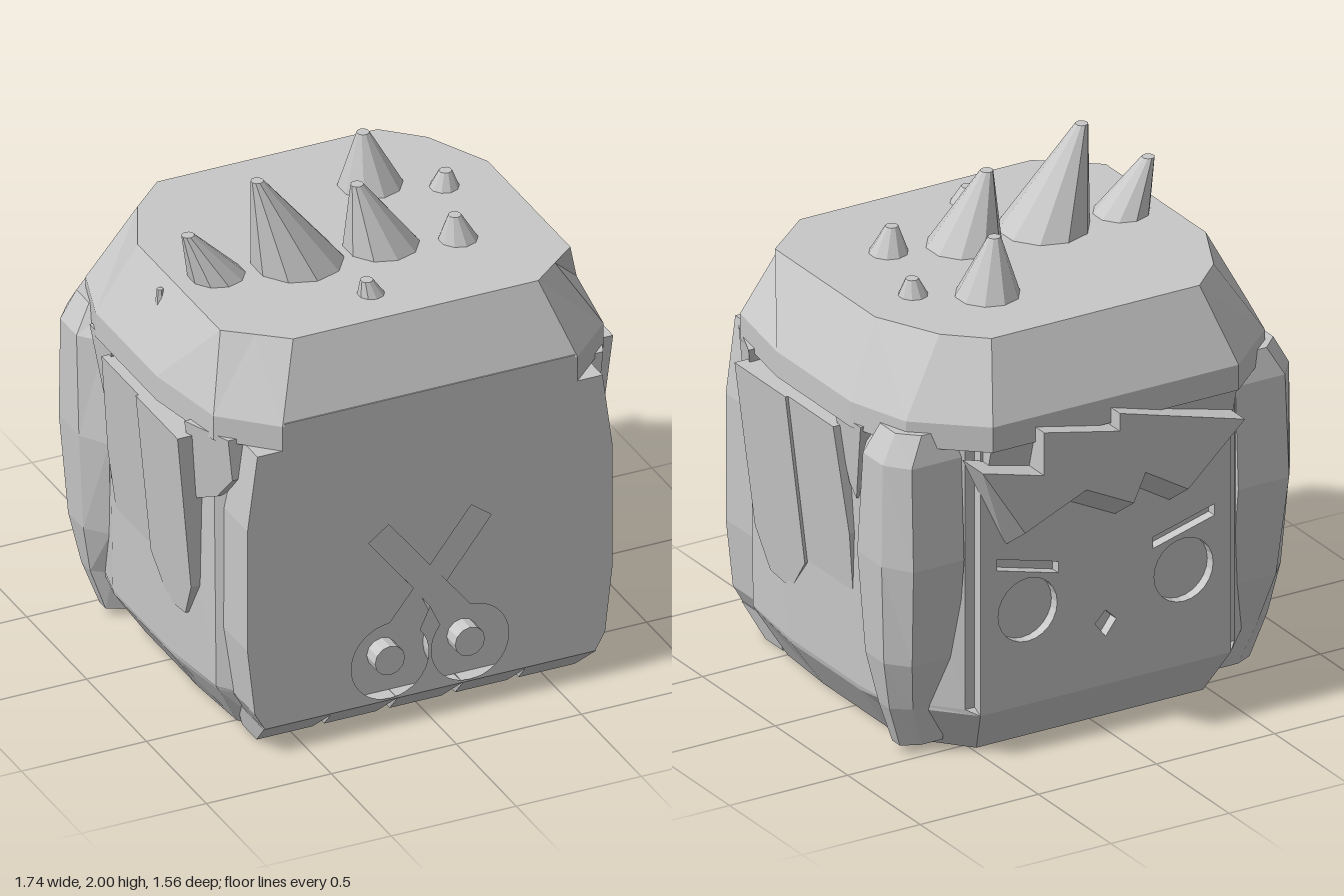
import * as THREE from 'three';

// Skin stacked rings of [x, z] points, listed from the top down
function loft(levels) {
  const pos = [], idx = [], n = levels[0].ring.length, last = (levels.length - 1) * n;
  for (const { y, ring } of levels) for (const [x, z] of ring) pos.push(x, y, z);
  for (let i = 0; i < levels.length - 1; i++) {
    for (let j = 0; j < n; j++) {
      const a = i * n + j, b = i * n + (j + 1) % n;
      idx.push(a, b, a + n, b, b + n, a + n);
    }
  }
  for (const { y, ring } of [levels[0], levels[levels.length - 1]]) {
    pos.push(ring.reduce((s, p) => s + p[0], 0) / n, y, ring.reduce((s, p) => s + p[1], 0) / n);
  }
  const top = levels.length * n;
  for (let j = 0; j < n; j++) {
    const k = (j + 1) % n;
    idx.push(top, k, j, top + 1, last + j, last + k);
  }
  const geo = new THREE.BufferGeometry();
  geo.setAttribute('position', new THREE.Float32BufferAttribute(pos, 3));
  geo.setIndex(idx);
  geo.computeVertexNormals();
  return geo;
}

const both = half => [...half, ...half.map(([x, z]) => [-x, z]).reverse()];

// Move every vertex by a rule
function warp(geo, rule) {
  const p = geo.attributes.position, v = new THREE.Vector3();
  for (let i = 0; i < p.count; i++) {
    v.fromBufferAttribute(p, i);
    rule(v);
    p.setXYZ(i, v.x, v.y, v.z);
  }
  geo.computeVertexNormals();
  return geo;
}

// Flip left to right and restore the corner order
function mirrored(geo) {
  const g = geo.index ? geo.toNonIndexed() : geo.clone();
  g.scale(-1, 1, 1);
  const p = g.attributes.position, a = new THREE.Vector3(), b = new THREE.Vector3();
  for (let i = 0; i < p.count; i += 3) {
    a.fromBufferAttribute(p, i + 1);
    b.fromBufferAttribute(p, i + 2);
    p.setXYZ(i + 1, b.x, b.y, b.z);
    p.setXYZ(i + 2, a.x, a.y, a.z);
  }
  g.computeVertexNormals();
  return g;
}

const vecs = pts => pts.map(([x, y]) => new THREE.Vector2(x, y));
const arc = (cx, cy, r, from, to, n) => Array.from({ length: n + 1 }, (_, i) => {
  const t = THREE.MathUtils.degToRad(from + (to - from) * i / n);
  return [cx + r * Math.cos(t), cy + r * Math.sin(t)];
});

function plate(outline, z, depth, holes = []) {
  const shape = new THREE.Shape(vecs(outline));
  for (const h of holes) shape.holes.push(new THREE.Path(vecs(h)));
  return new THREE.ExtrudeGeometry(shape, { depth, bevelEnabled: false }).translate(0, 0, z);
}

// Plate on the model's left side from [z, y] points; outer(z, y) gives its outer x
function sidePlate(pts, outer) {
  const geo = plate(pts.map(([z, y]) => [-z, y]), -0.14, 0.14).rotateY(Math.PI / 2);
  return warp(geo, v => { v.x += outer(v.z, v.y); });
}

export function createModel() {
  const model = new THREE.Group();
  const grey = new THREE.MeshStandardMaterial({ color: 0xc8c8c8, flatShading: true });
  grey.name = 'light grey';
  const add = (name, geo) => {
    const mesh = new THREE.Mesh(geo, grey);
    mesh.name = name;
    model.add(mesh);
    return mesh;
  };
  const addPair = (name, geo) => {
    add(name + 'Left', geo);
    add(name + 'Right', mirrored(geo));
  };

  // Head block with a square socket underneath
  const socket = both([[0.09, -0.19], [0.19, -0.19], [0.19, -0.07], [0.19, 0.07], [0.19, 0.19], [0.09, 0.19]]);
  add('head', loft([
    { y: 1.3, ring: both([[0.57, -0.61], [0.75, -0.42], [0.8, -0.23], [0.8, 0.25], [0.76, 0.56], [0.58, 0.7]]) },
    { y: 0.2, ring: both([[0.57, -0.61], [0.74, -0.42], [0.785, -0.23], [0.785, 0.25], [0.75, 0.56], [0.6, 0.7]]) },
    { y: 0.18, ring: both([[0.53, -0.65], [0.74, -0.42], [0.78, -0.23], [0.78, 0.25], [0.74, 0.56], [0.6, 0.7]]) },
    { y: 0, ring: both([[0.48, -0.54], [0.6, -0.4], [0.66, -0.22], [0.66, 0.22], [0.64, 0.5], [0.56, 0.62]]) },
    { y: 0, ring: socket },
    { y: 0.6, ring: socket },
  ]));

  // Hair cap with sloping sides
  const capRing = both([[0.52, -0.72], [0.76, -0.51], [0.84, -0.26], [0.84, 0.25], [0.78, 0.6], [0.59, 0.78]]);
  add('hairCap', loft([
    { y: 1.63, ring: both([[0.44, -0.58], [0.58, -0.45], [0.7, -0.2], [0.7, 0.49], [0.6, 0.57], [0.49, 0.66]]) },
    { y: 1.35, ring: capRing },
    { y: 1.25, ring: capRing },
  ]));
  add('hairBehindFringe', warp(new THREE.BoxGeometry(1.04, 0.22, 0.12).translate(0, 1.15, -0.65), v => {
    if (v.y < 1.1 && v.z < -0.65) v.z = -0.65;
  }));

  // Spikes: [base x, base z, radius, tip x, tip y]
  const spikes = [
    [-0.53, 0.115, 0.11, -0.65, 1.82], [-0.225, 0.15, 0.175, -0.39, 2], [0.1, 0.17, 0.145, 0, 1.9],
    [0.25, -0.24, 0.125, 0.22, 1.85], [0.48, -0.105, 0.06, 0.485, 1.695],
    [0.365, 0.255, 0.078, 0.35, 1.73], [-0.09, 0.48, 0.055, -0.11, 1.69],
  ];
  for (const [x, z, r, tipX, tipY] of spikes) {
    const h = tipY - 1.62;
    const geo = new THREE.CylinderGeometry(0.024, r, h, 10).translate(0, h / 2, 0);
    add('hairSpike', warp(geo, v => { v.x += (tipX - x) * v.y / h; })).position.set(x, 1.62, z);
  }
  add('smallNub', new THREE.CylinderGeometry(0.012, 0.02, 0.08, 6)).position.set(-0.735, 1.55, 0.06);

  // Flat hair panel on the front, with sunken scissors
  const panel = both([
    [0.58, 1.36], [0.58, 1.25], [0.69, 1.25], [0.73, 0.95], [0.73, 0.45], [0.7, 0.18], [0.66, 0.11],
  ]);
  const halfScissors = [
    [0, 0.63], [0.165, 0.84], [0.245, 0.78], [0.065, 0.55], [0.16, 0.43],
    ...arc(0.16, 0.272, 0.155, 80, -220, 28), [0, 0.46],
  ];
  const scissors = [...halfScissors, ...halfScissors.slice(1, -1).map(([x, y]) => [-x, y]).reverse()];
  add('frontPanel', plate(panel, 0.71, 0.07, [scissors]));
  add('frontPanelBacking', plate(panel, 0.56, 0.15));
  for (const x of [-0.16, 0.16]) {
    add('scissorPin', new THREE.CylinderGeometry(0.06, 0.06, 0.08, 12).rotateX(Math.PI / 2)).position.set(x, 0.272, 0.74);
  }

  // Row of hair tips under the front panel
  for (let i = -2; i <= 2; i++) {
    const w = Math.abs(i) === 2 ? 0.28 : 0.26;
    const geo = new THREE.BoxGeometry(w, 0.11, 0.24).translate(0, 0.055, 0.66);
    add('frontHairTip', warp(geo, v => {
      if (v.y < 0.05) { v.x *= 0.8; if (v.z > 0.7) v.z = 0.66; }
    })).position.x = i * 0.262;
  }

  // Face on the back with sunken eyes, brows and nose
  const flipped = pts => pts.map(([x, y]) => [-x, y]);
  const eye = arc(0.33, 0.555, 0.125, 0, 345, 23);
  const brow = [[0.2, 0.67], [0.46, 0.74], [0.46, 0.785], [0.2, 0.715]];
  const nose = [[-0.045, 0.43], [0, 0.37], [0.045, 0.43], [0, 0.475]];
  add('face', plate([[-0.53, 0.18], [0.53, 0.18], [0.53, 1.25], [-0.53, 1.25]], -0.65, 0.045,
    [eye, flipped(eye), brow, flipped(brow), nose]));

  // Jagged fringe, its underside sloping in to the face
  const fringe = [
    [0.6, 1.21], [0.34, 1.14], [0.34, 1.31], [0.02, 1.24], [0.02, 1.31], [-0.51, 1.16],
    [-0.27, 0.94], [-0.09, 1.05], [-0.04, 0.94], [0.16, 1.04], [0.42, 0.93],
  ];
  add('fringe', warp(plate(fringe, -0.78, 0.14), v => {
    if (v.z > -0.7 && v.y < 1.1) v.y -= 0.1;
  }));

  // Thick side locks: [y, back z, front z, outer x]
  const lock = [
    [1.31, -0.57, -0.33, 0.8], [1.2, -0.6, -0.29, 0.86], [0.8, -0.62, -0.24, 0.865],
    [0.4, -0.57, -0.28, 0.84], [0.2, -0.51, -0.34, 0.8], [0.03, -0.47, -0.35, 0.74],
  ].map(([y, b, f, x]) => {
    const w = (f - b) * 0.28;
    return { y, ring: [[0.58, b], [x - 0.07, b], [x, b + w], [x, f - w], [x - 0.07, f], [0.58, f]] };
  });
  addPair('sideLock', loft(lock));

  // Overlapping side strands that sink into the head lower down
  const slope = y => 0.785 + 0.105 * (y - 0.4);
  addPair('frontStrand', sidePlate(
    [[0.49, 1.22], [0.14, 1.22], [0.12, 0.55], [0.24, 0.4], [0.38, 0.42], [0.46, 0.57]],
    (z, y) => slope(y)));
  addPair('middleStrand', sidePlate(
    [[0.15, 1.22], [-0.17, 1.22], [-0.21, 0.8], [-0.19, 0.5], [-0.04, 0.42], [0.12, 0.55]],
    (z, y) => slope(y) - 0.012));

  // Pointed tufts hanging from the cap
  addPair('templeTuft', sidePlate(
    [[0.66, 1.27], [0.66, 1.1], [0.58, 1], [0.48, 0.95], [0.46, 1.27]],
    (z, y) => 0.83 - 0.4 * (z - 0.46) - 0.1 * (1.27 - y)));
  addPair('rearTuft', sidePlate(
    [[-0.14, 1.27], [-0.2, 1], [-0.24, 0.95], [-0.32, 1.27]],
    (z, y) => 0.835 - 0.1 * (1.27 - y)));

  return model;
}
